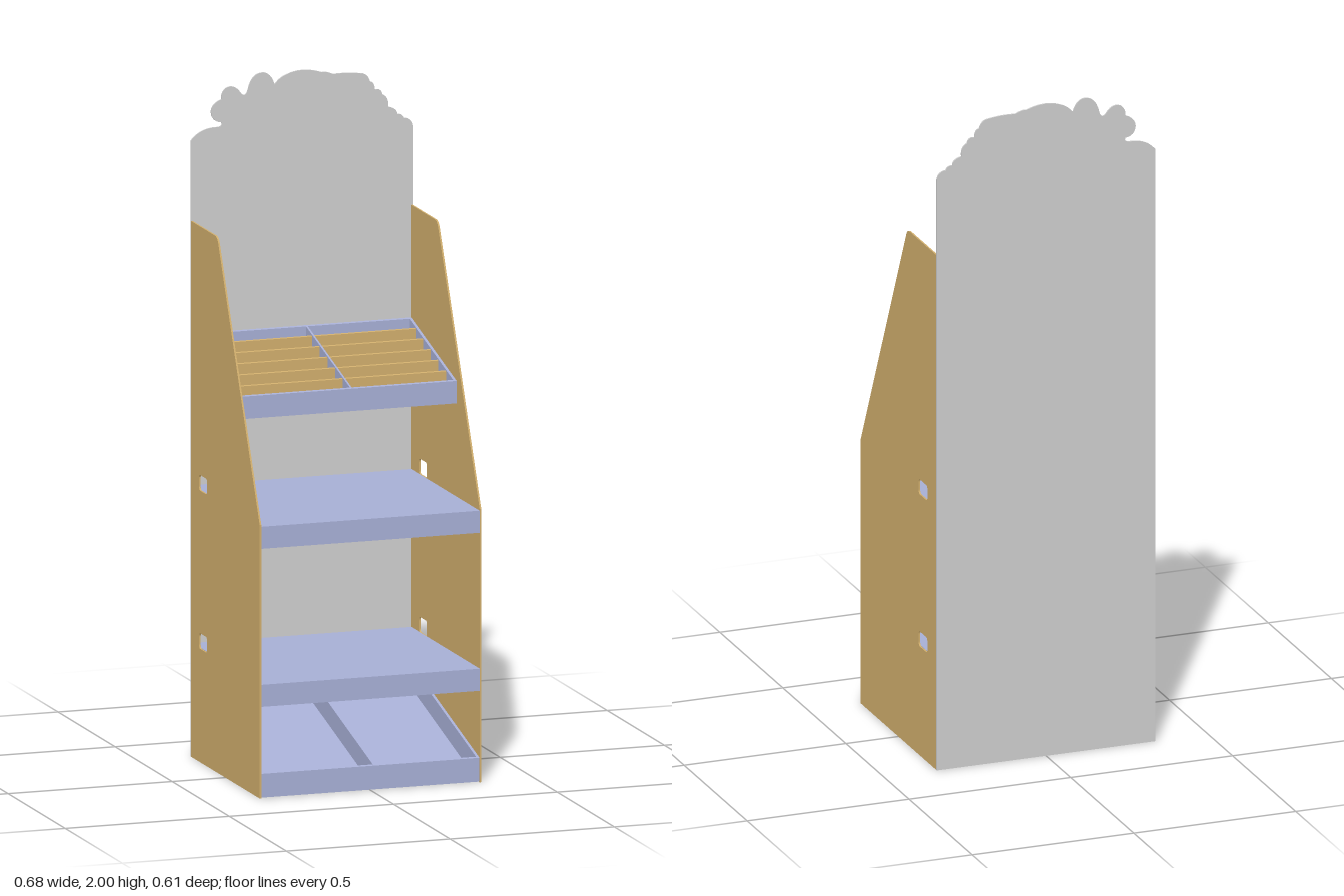
import * as THREE from 'three';

const blue = new THREE.MeshStandardMaterial({ name: 'blueBoard', color: 0xa6aed4 });
const tan = new THREE.MeshStandardMaterial({ name: 'tanBoard', color: 0xcfad6c });
const grey = new THREE.MeshStandardMaterial({ name: 'greyBoard', color: 0xcdcdcd });

const SLOPE = 0.265; // rise of the tilted trays per unit of depth
const HALF = 0.333; // inner half width between the side panels

function mesh(name, geometry, material) {
  const m = new THREE.Mesh(geometry, material);
  m.name = name;
  return m;
}

// Box given by its limits, sheared upwards towards the back by `slope`
function board(name, material, [x0, x1], [y0, y1], [z0, z1], slope = 0, pivotZ = 0) {
  const g = new THREE.BoxGeometry(x1 - x0, y1 - y0, z1 - z0);
  g.translate((x0 + x1) / 2, (y0 + y1) / 2, (z0 + z1) / 2);
  const p = g.attributes.position;
  for (let i = 0; i < p.count; i++) p.setY(i, p.getY(i) + slope * (pivotZ - p.getZ(i)));
  g.computeVertexNormals();
  return mesh(name, g, material);
}

// Rounded hand hole, centred on (u, v)
function handHole(u, v, w = 0.07, h = 0.046, r = 0.012) {
  const p = new THREE.Path();
  const a = w / 2, b = h / 2;
  p.moveTo(u - a + r, v - b);
  p.lineTo(u + a - r, v - b);
  p.quadraticCurveTo(u + a, v - b, u + a, v - b + r);
  p.lineTo(u + a, v + b - r);
  p.quadraticCurveTo(u + a, v + b, u + a - r, v + b);
  p.lineTo(u - a + r, v + b);
  p.quadraticCurveTo(u - a, v + b, u - a, v + b - r);
  p.lineTo(u - a, v - b + r);
  p.quadraticCurveTo(u - a, v - b, u - a + r, v - b);
  return p;
}

// Side panel, drawn with u = -z
function sidePanel(name, x) {
  const s = new THREE.Shape();
  s.moveTo(-0.301, 0);
  s.lineTo(0.3, 0);
  s.lineTo(0.3, 1.578);
  s.lineTo(0.09, 1.578);
  s.quadraticCurveTo(0.07, 1.578, 0.062, 1.56);
  s.lineTo(-0.301, 0.805);
  s.closePath();
  s.holes.push(handHole(0.195, 0.823), handHole(0.195, 0.357));
  const g = new THREE.ExtrudeGeometry(s, { depth: 0.005, bevelEnabled: false, curveSegments: 6 });
  g.rotateY(Math.PI / 2);
  g.translate(x, 0, 0);
  return mesh(name, g, tan);
}

// Back panel with an irregular scalloped crest
function backPanel() {
  const s = new THREE.Shape();
  s.moveTo(-0.338, 0);
  s.lineTo(0.338, 0);
  s.lineTo(0.338, 1.81);
  // control point and end point of each lobe, right to left
  const lobes = [
    [0.335, 1.835, 0.31, 1.836], [0.305, 1.85, 0.29, 1.848], [0.29, 1.866, 0.262, 1.872],
    [0.265, 1.9, 0.245, 1.91], [0.24, 1.93, 0.222, 1.925], [0.22, 1.95, 0.207, 1.95],
    [0.2, 1.975, 0.18, 1.976], [0.14, 1.983, 0.095, 1.98], [0.075, 1.99, 0.06, 1.988],
    [0, 2.01, -0.05, 1.988], [-0.07, 1.98, -0.083, 1.962], [-0.095, 2.0, -0.12, 2.0],
    [-0.155, 2.0, -0.165, 1.95], [-0.172, 1.93, -0.185, 1.943], [-0.205, 1.975, -0.232, 1.962],
    [-0.247, 1.95, -0.245, 1.93], [-0.275, 1.92, -0.277, 1.895], [-0.275, 1.865, -0.245, 1.862],
    [-0.24, 1.85, -0.258, 1.849], [-0.31, 1.85, -0.338, 1.815],
  ];
  for (const l of lobes) s.quadraticCurveTo(...l);
  s.closePath();
  const g = new THREE.ExtrudeGeometry(s, { depth: 0.005, bevelEnabled: false, curveSegments: 6 });
  g.translate(0, 0, -0.305);
  return mesh('backPanel', g, grey);
}

// Tilted open tray: floor, four walls and a centre divider
function tray(name, y, front, wall, crossDividers = []) {
  const group = new THREE.Group();
  group.name = name;
  const back = -0.299, t = 0.008, base = 0.006;
  const add = (part, material, xs, ys, zs) =>
    group.add(board(part, material, xs, ys, zs, SLOPE, front));
  add('trayFloor', blue, [-HALF, HALF], [y, y + base], [back, front]);
  add('trayFront', blue, [-HALF, HALF], [y + base, y + wall], [front - t, front]);
  add('trayBack', blue, [-HALF, HALF], [y + base, y + wall], [back, back + t]);
  for (const x of [-HALF, HALF - t])
    add('traySide', blue, [x, x + t], [y + base, y + wall], [back + t, front - t]);
  add('trayCentre', blue, [0.009, 0.0145], [y + base, y + wall], [back + t, front - t]);
  for (const z of crossDividers)
    for (const xs of [[t - HALF, 0.009], [0.0145, HALF - t]])
      add('crossDivider', tan, xs, [y + base, y + wall - 0.004], [z - 0.003, z + 0.003]);
  return group;
}

export function createModel() {
  const model = new THREE.Group();
  model.name = 'displayStand';

  model.add(backPanel(), sidePanel('leftSide', HALF), sidePanel('rightSide', -HALF - 0.005));

  // flat shelves
  model.add(
    board('lowerShelf', blue, [-HALF, HALF], [0.27, 0.335], [-0.299, 0.303]),
    board('middleShelf', blue, [-HALF, HALF], [0.735, 0.8], [-0.299, 0.301]),
  );

  // tilted trays
  model.add(
    tray('bottomTray', 0.002, 0.3, 0.07),
    tray('topTray', 1.075, 0.1, 0.066, [-0.24, -0.174, -0.107, -0.04, 0.027]),
  );
  return model;
}
